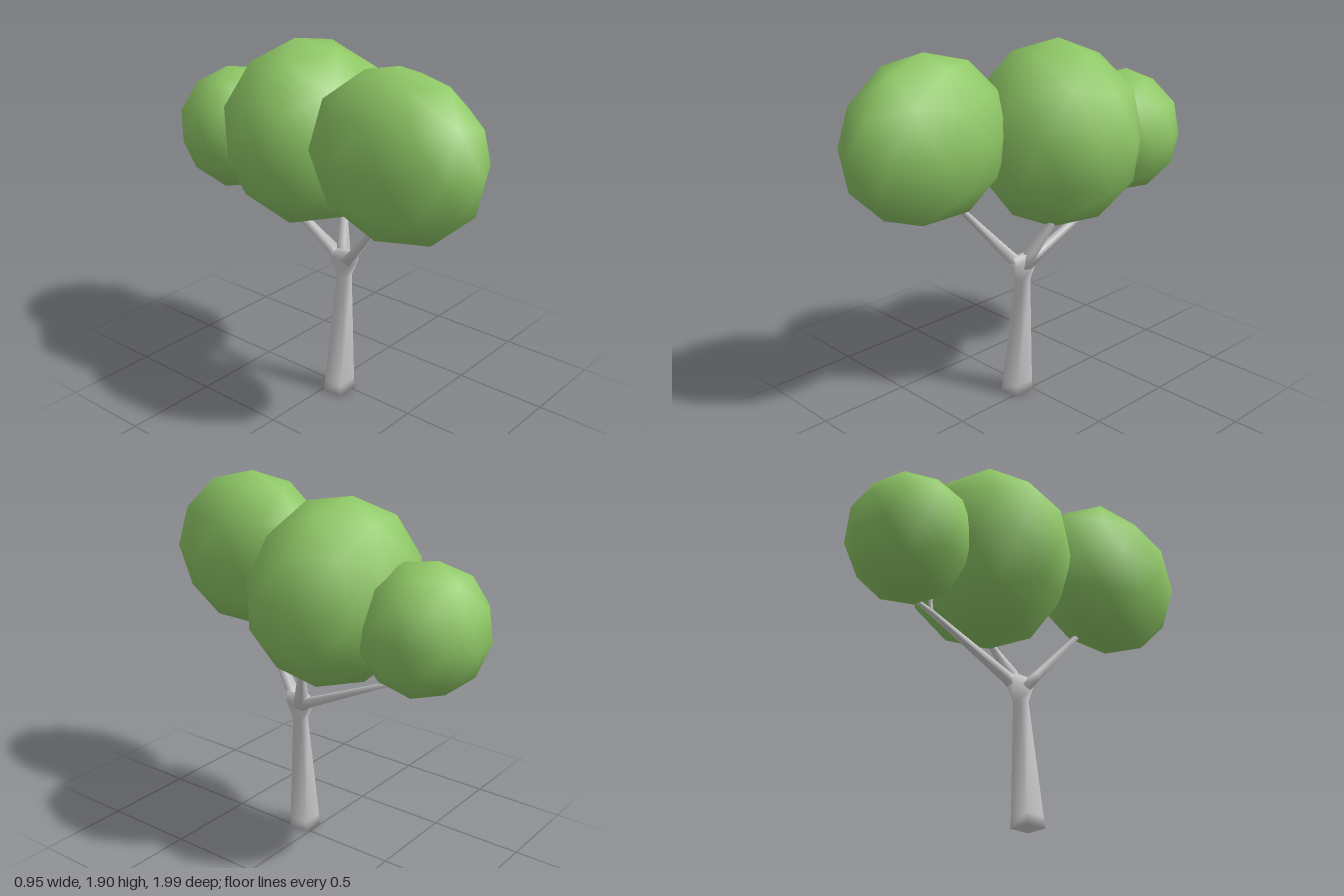
import * as THREE from 'three';

const bark = new THREE.MeshStandardMaterial({ color: 0xcccccc });
const leaf = new THREE.MeshStandardMaterial({ color: 0x8fc866 });

// Four-sided limb through sections [x, y, z, halfWidth, halfDepth], smooth shaded and capped.
function limb(name, sections, level = false) {
  const pos = [], idx = [];
  const centres = sections.map(s => new THREE.Vector3(s[0], s[1], s[2]));
  const up = new THREE.Vector3(0, 1, 0);
  sections.forEach(([, , , a, b = a], i) => {
    const dir = centres[Math.min(i + 1, centres.length - 1)].clone()
      .sub(centres[Math.max(i - 1, 0)]).normalize();
    const q = new THREE.Quaternion();
    if (!level) q.setFromUnitVectors(up, dir);
    for (const [sx, sz] of [[1, 1], [1, -1], [-1, -1], [-1, 1]]) {
      const p = new THREE.Vector3(sx * a, 0, sz * b).applyQuaternion(q).add(centres[i]);
      pos.push(p.x, p.y, p.z);
    }
  });
  const last = (sections.length - 1) * 4;
  for (let r = 0; r < last; r += 4) {
    for (let k = 0; k < 4; k++) {
      const n = (k + 1) % 4;
      idx.push(r + k, r + n, r + 4 + n, r + k, r + 4 + n, r + 4 + k);
    }
  }
  idx.push(0, 2, 1, 0, 3, 2, last, last + 1, last + 2, last, last + 2, last + 3);
  const geo = new THREE.BufferGeometry();
  geo.setAttribute('position', new THREE.Float32BufferAttribute(pos, 3));
  geo.setIndex(idx);
  geo.computeVertexNormals();
  const mesh = new THREE.Mesh(geo, bark);
  mesh.name = name;
  return mesh;
}

// Smooth low-poly leaf ball with one vertex pointing straight up before tilting.
function crown(name, centre, radii, tilt) {
  const geo = new THREE.IcosahedronGeometry(1, 1);
  geo.rotateZ(-Math.atan(2 / (1 + Math.sqrt(5))));
  const mesh = new THREE.Mesh(geo, leaf);
  mesh.position.set(...centre);
  mesh.scale.set(...radii);
  mesh.rotation.set(...tilt);
  mesh.name = name;
  return mesh;
}

export function createModel() {
  const tree = new THREE.Group();
  tree.name = 'tree';

  // Leaning trunk, flaring front to back at the fork
  tree.add(limb('trunk', [
    [-0.04, 0, 0.065, 0.06],
    [-0.037, 0.06, 0.065, 0.056],
    [0.003, 0.67, 0.062, 0.028],
    [0.008, 0.76, 0.06, 0.028, 0.07],
    [0.008, 0.81, 0.075, 0.02, 0.06],
  ], true));

  // Branches reaching into the crowns
  tree.add(limb('frontBranch', [
    [0.005, 0.75, 0.08, 0.026], [-0.02, 0.83, 0.15, 0.022], [-0.09, 1.1, 0.38, 0.012], [-0.12, 1.2, 0.46, 0.008],
  ]));
  tree.add(limb('middleBranch', [
    [0.01, 0.74, 0.06, 0.026], [0.04, 0.83, 0.025, 0.024], [0.115, 0.98, -0.035, 0.013], [0.125, 1.0, -0.045, 0.006],
  ]));
  tree.add(limb('rearBranch', [
    [0.01, 0.75, 0.04, 0.026], [0.02, 0.79, -0.03, 0.022], [0.065, 1.01, -0.48, 0.011], [0.075, 1.06, -0.6, 0.007],
  ]));
  tree.add(limb('twig', [
    [0.065, 1.01, -0.49, 0.009], [0.065, 1.12, -0.5, 0.005],
  ]));

  // Three overlapping crowns
  tree.add(crown('frontCrown', [-0.18, 1.475, 0.525], [0.315, 0.425, 0.47], [0, 0, 0]));
  tree.add(crown('middleCrown', [0.01, 1.41, -0.17], [0.475, 0.485, 0.425], [-0.12, -0.07, 0.09]));
  tree.add(crown('rearCrown', [0.01, 1.33, -0.685], [0.325, 0.335, 0.32], [-0.16, -0.1, 0.06]));
  return tree;
}
